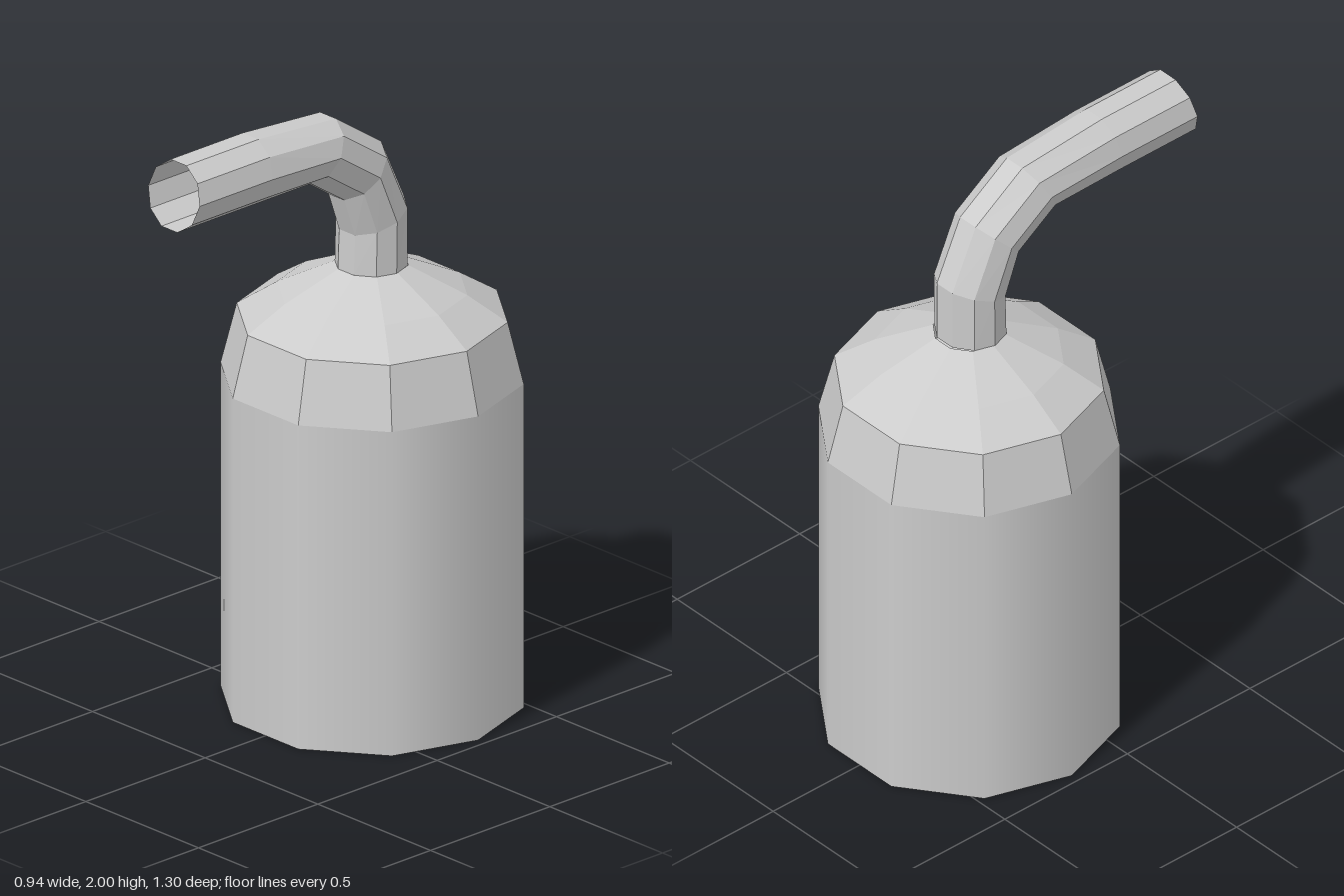
import * as THREE from 'three';

const SIDES = 10;
const AXIS_Z = -0.2;

// Ten-sided pipe lofted through rings given by inner and outer bend points [z, y]
function bentPipe(rings, radius) {
  const pos = [], index = [];
  const peak = Math.sin(Math.PI * 0.4);
  for (const [inZ, inY, outZ, outY] of rings) {
    for (let i = 0; i < SIDES; i++) {
      const a = (i / SIDES) * Math.PI * 2;
      const t = (Math.sin(a) / peak + 1) / 2;
      pos.push(radius * Math.cos(a),
        THREE.MathUtils.lerp(inY, outY, t),
        THREE.MathUtils.lerp(inZ, outZ, t));
    }
  }
  for (let r = 0; r < rings.length - 1; r++) {
    for (let i = 0; i < SIDES; i++) {
      const j = (i + 1) % SIDES;
      const a = r * SIDES + i, b = r * SIDES + j;
      const c = a + SIDES, d = b + SIDES;
      index.push(a, b, d, a, d, c);
    }
  }
  const geo = new THREE.BufferGeometry();
  geo.setAttribute('position', new THREE.Float32BufferAttribute(pos, 3));
  geo.setIndex(index);
  geo.computeVertexNormals();
  return geo;
}

export function createModel() {
  const model = new THREE.Group();
  model.name = 'bottleWithSpout';
  const smooth = new THREE.MeshStandardMaterial({ color: 0xcccccc });
  const flat = new THREE.MeshStandardMaterial({
    color: 0xcccccc, flatShading: true, side: THREE.DoubleSide,
  });
  const add = (name, geo, mat) => {
    const mesh = new THREE.Mesh(geo, mat);
    mesh.name = name;
    model.add(mesh);
    return mesh;
  };

  // Smooth-shaded body with a closed base
  const body = add('body',
    new THREE.CylinderGeometry(0.47, 0.47, 1.07, SIDES, 1, false, Math.PI / 2), smooth);
  body.position.set(0, 0.535, AXIS_Z);

  // Faceted shoulder narrowing to the neck
  const profile = [[0.47, 1.07], [0.42, 1.27], [0.295, 1.35], [0.112, 1.435]]
    .map(([r, y]) => new THREE.Vector2(r, y));
  const shoulder = add('shoulder',
    new THREE.LatheGeometry(profile, SIDES, Math.PI / 2), flat);
  shoulder.position.z = AXIS_Z;

  // Open spout: inner z, inner y, outer z, outer y for each ring
  add('spout', bentPipe([
    [-0.09, 1.435, -0.3, 1.435],
    [-0.095, 1.565, -0.3, 1.64],
    [-0.05, 1.695, -0.205, 1.845],
    [0.09, 1.79, -0.015, 1.975],
    [0.34, 1.79, 0.31, 2.0],
    [0.65, 1.79, 0.612, 2.0],
  ], 0.114), flat);

  return model;
}
